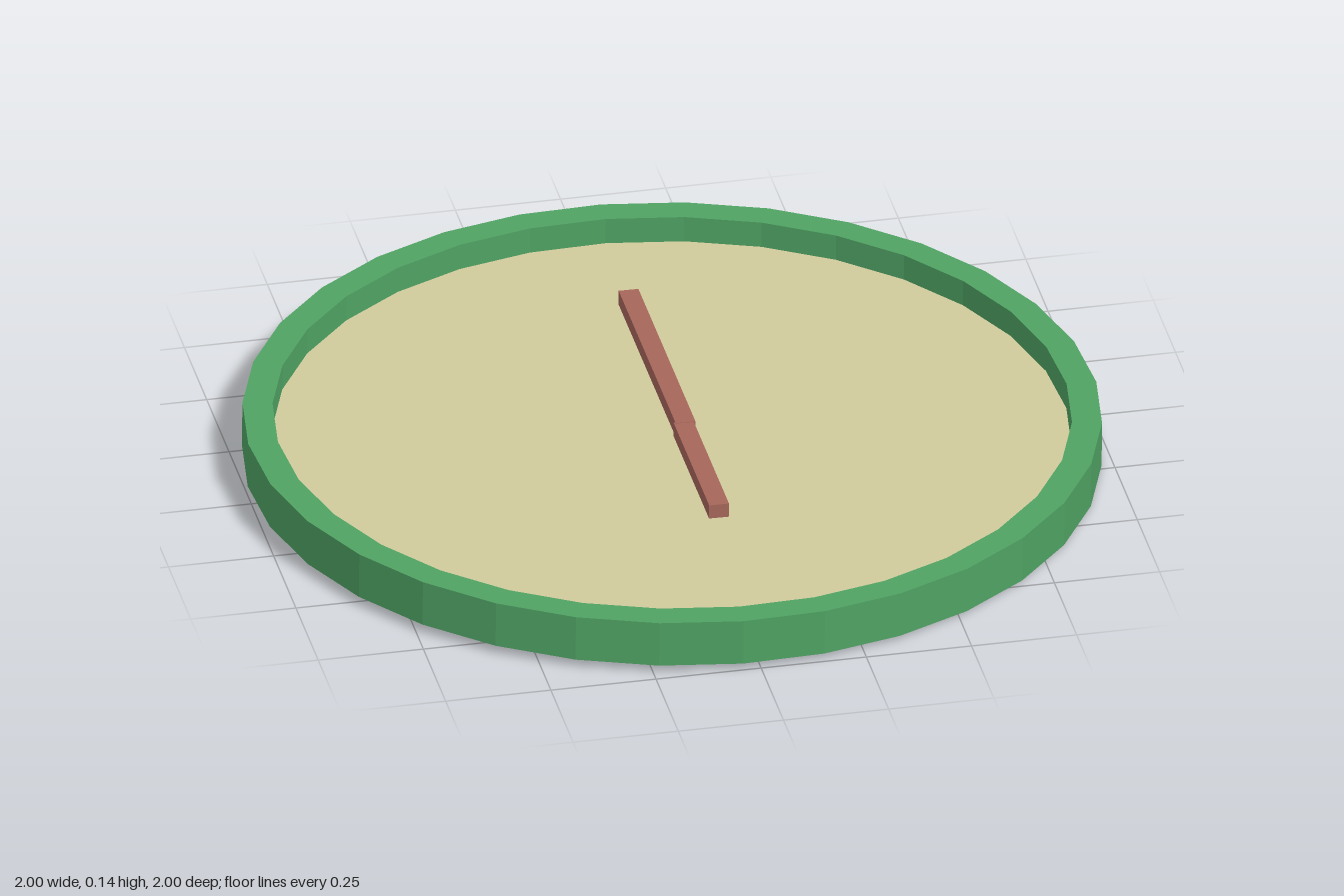
import * as THREE from 'three';

export function createModel() {
  const clock = new THREE.Group();
  clock.name = 'wallClock';

  const add = (name, geometry, color, x = 0, y = 0, z = 0, side = THREE.FrontSide) => {
    const material = new THREE.MeshStandardMaterial({ color, flatShading: true, side });
    const mesh = new THREE.Mesh(geometry, material);
    mesh.name = name;
    mesh.position.set(x, y, z);
    clock.add(mesh);
  };

  const sides = 32, start = -0.042;
  const outer = 1, inner = 0.93, half = 0.0565;

  // rim: a rectangular section turned into a faceted ring
  const section = [[outer, -half], [outer, half], [inner, half], [inner, -half], [outer, -half]]
    .map(([r, y]) => new THREE.Vector2(r, y));
  add('rim', new THREE.LatheGeometry(section, sides, start), 0x4fa263);

  // dial: thin disc set halfway into the rim
  const dial = new THREE.CircleGeometry(inner, sides, start - Math.PI / 2);
  dial.rotateX(-Math.PI / 2);
  add('dial', dial, 0xd0ca9c, 0, -0.008, 0, THREE.DoubleSide);

  // hands: two bars pointing opposite ways, just piercing the dial
  const bar = (length) => new THREE.BoxGeometry(0.047, 0.042, length);
  add('minuteHand', bar(0.64), 0xa6665a, 0.032, 0.007, -0.32);
  add('hourHand', bar(0.4), 0xa6665a, 0.028, 0.006, 0.195);

  // the clock lies slightly tilted
  clock.rotation.set(-0.004, 0, -0.0115);
  clock.position.y = 0.0695;

  const model = new THREE.Group();
  model.name = 'model';
  model.add(clock);
  return model;
}
